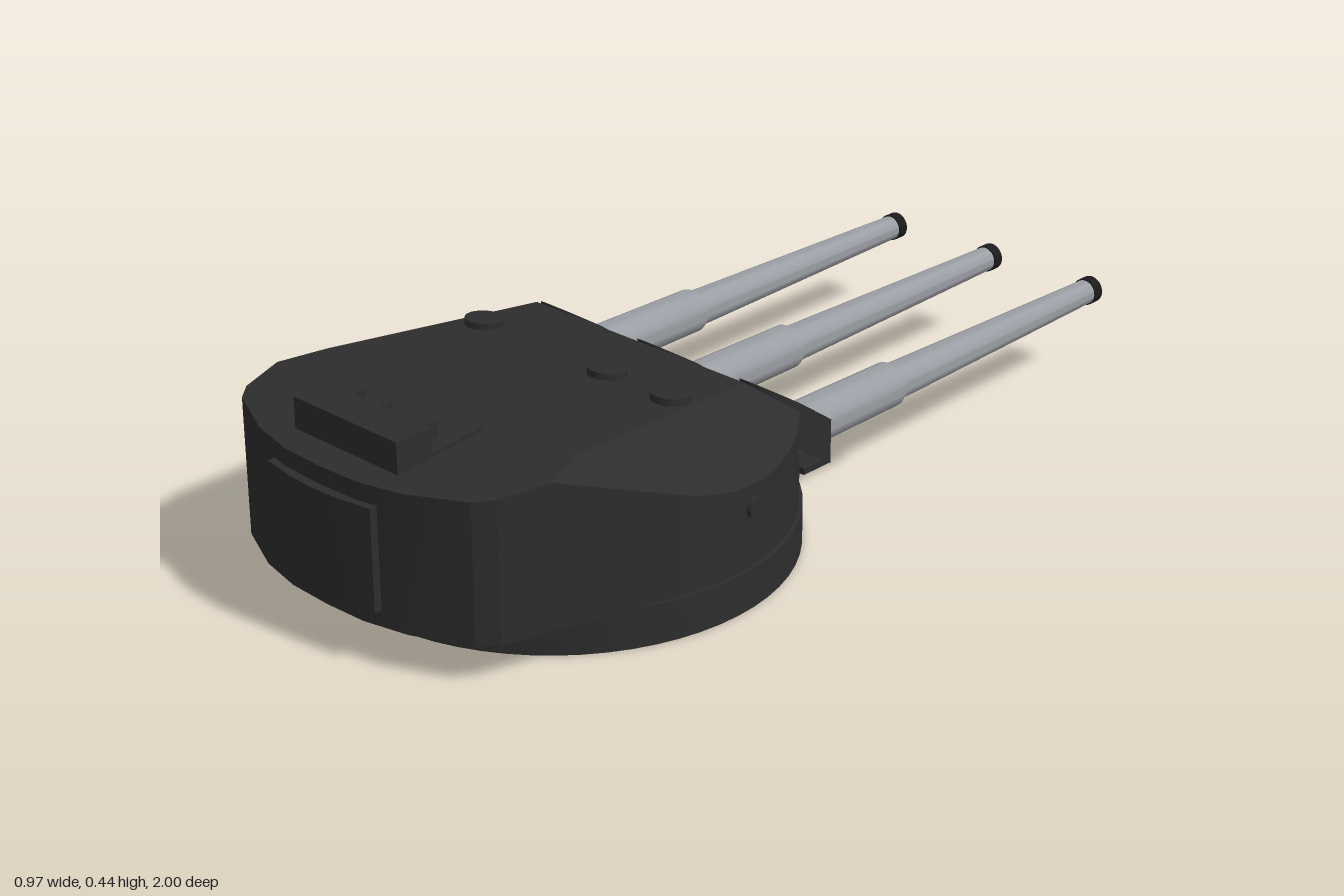
import * as THREE from 'three';
import { mergeGeometries, toCreasedNormals } from 'three/addons/utils/BufferGeometryUtils.js';

const armour = new THREE.MeshStandardMaterial({ color: 0x2d2d2d, side: THREE.DoubleSide });
armour.name = 'darkArmour';
const steel = new THREE.MeshStandardMaterial({ color: 0x9a9da3, side: THREE.DoubleSide });
steel.name = 'gunSteel';
const black = new THREE.MeshStandardMaterial({ color: 0x1b1b1c, side: THREE.DoubleSide });
black.name = 'muzzleBlack';

const CZ = 0.373, R = 0.475, FLOOR = 0.085, GUN_Y = 0.196, PORT = 0.052;
const GUNS = [-0.28, 0, 0.28];

// Roof planes: height as a function of plan position
const frontPlane = (x, z) => 0.352 + 0.825 * (z - 0.15);
const mainPlane = (x, z) => 0.352 + 0.0843 * (z - 0.15);
const rearPlane = (x, z) => 0.395 - 0.08 * (z - 0.66);
const sidePlane = (x, z) => 0.352 - 0.669 * (Math.abs(x) - 0.29) + 0.1565 * (z - 0.15);
const planes = [frontPlane, sidePlane, rearPlane];

function add(group, name, geometry, material, x = 0, y = 0, z = 0) {
  const mesh = new THREE.Mesh(geometry, material);
  mesh.name = name;
  mesh.position.set(x, y, z);
  group.add(mesh);
  return mesh;
}

const planShape = pts => new THREE.Shape(pts.map(([x, z]) => new THREE.Vector2(x, -z)));

// Half-ellipse running around the inner end of a gun port
function arch(cx, halfWidth, zStart, depth) {
  return Array.from({ length: 17 }, (_, i) => {
    const t = Math.PI * i / 16;
    return [cx - halfWidth * Math.cos(t), zStart + depth * Math.sin(t)];
  });
}

// Flat plan polygon lifted onto a height function
function face(shape, height) {
  const g = new THREE.ShapeGeometry(shape, 48).toNonIndexed();
  const p = g.attributes.position;
  for (let i = 0; i < p.count; i++) {
    const x = p.getX(i), z = -p.getY(i);
    p.setXYZ(i, x, height(x, z), z);
  }
  g.deleteAttribute('uv');
  g.deleteAttribute('normal');
  return g;
}

// Plan outline: round front, tapering flanks, shallow curved rear
function outline() {
  const limit = 107 * Math.PI / 180;
  const angles = Array.from({ length: 49 }, (_, i) => limit * (i / 24 - 1));
  for (const g of GUNS) angles.push(Math.asin((g - PORT) / R), Math.asin((g + PORT) / R));
  angles.sort((a, b) => a - b);
  const pts = angles.map(a => [R * Math.sin(a), CZ - R * Math.cos(a)]);
  const rear = [[0.35, 0.86], [0.32, 0.895], [0.2, 0.95], [0.1, 0.972]];
  return [...pts, ...rear, [0, 0.976], ...rear.map(([x, z]) => [-x, z]).reverse()];
}

const lowest = ([x, z]) => {
  const h = planes.map(f => f(x, z));
  return h.indexOf(Math.min(...h));
};

function bodyGeometry() {
  const raw = outline(), loop = [];
  // add the exact points where two roof planes meet on the outline
  raw.forEach((a, i) => {
    const b = raw[(i + 1) % raw.length], ia = lowest(a), ib = lowest(b);
    loop.push({ p: a, on: [ia] });
    if (ia === ib) return;
    const da = planes[ia](...a) - planes[ib](...a), db = planes[ia](...b) - planes[ib](...b);
    const t = da / (da - db);
    loop.push({ p: [a[0] + (b[0] - a[0]) * t, a[1] + (b[1] - a[1]) * t], on: [ia, ib] });
  });
  const on = k => loop.filter(q => q.on.includes(k)).map(q => q.p);

  // walls, lowered where the guns pass through
  const pos = [];
  loop.forEach(({ p: a }, i) => {
    const b = loop[(i + 1) % loop.length].p;
    const mx = (a[0] + b[0]) / 2, mz = (a[1] + b[1]) / 2;
    const open = mz < 0.1 && GUNS.some(g => Math.abs(mx - g) < PORT);
    const top = q => open ? 0.135 : Math.min(...planes.map(f => f(...q)));
    const ta = top(a), tb = top(b);
    pos.push(a[0], FLOOR, a[1], a[0], ta, a[1], b[0], FLOOR, b[1]);
    pos.push(b[0], FLOOR, b[1], a[0], ta, a[1], b[0], tb, b[1]);
  });
  const walls = new THREE.BufferGeometry();
  walls.setAttribute('position', new THREE.Float32BufferAttribute(pos, 3));

  // sloping front with three arched gun ports
  const front = [];
  for (const p of on(0)) {
    if (GUNS.some(g => Math.abs(p[0] - g) < PORT - 1e-5)) continue;
    front.push(p);
    const gun = GUNS.find(g => Math.abs(p[0] - g + PORT) < 1e-5);
    if (gun !== undefined) front.push(...arch(gun, PORT, 0.04, 0.05));
  }
  front.push([0.29, 0.15], [-0.29, 0.15]);

  const side = [...on(1).filter(p => p[0] > 0), [0.345, 0.66], [0.29, 0.15]];
  const rear = [...on(2), [-0.345, 0.66], [0.345, 0.66]];
  const main = [[-0.29, 0.15], [0.29, 0.15], [0.345, 0.66], [-0.345, 0.66]];

  // floor around the ring opening
  const floor = planShape(raw);
  floor.holes.push(new THREE.Path().absarc(0, -CZ, 0.44, 0, Math.PI * 2, true));

  return toCreasedNormals(mergeGeometries([
    walls,
    face(planShape(front), frontPlane),
    face(planShape(side), sidePlane),
    face(planShape(side.map(([x, z]) => [-x, z])), sidePlane),
    face(planShape(rear), rearPlane),
    face(planShape(main), mainPlane),
    face(floor, () => FLOOR),
  ]), 0.4);
}

// Raised arched collar following the front slope
function collarGeometry(frontZ) {
  const outer = [[-0.063, frontZ], ...arch(0, 0.063, 0.04, 0.09), [0.063, frontZ]];
  const inner = [[0.051, frontZ], ...arch(0, 0.051, 0.04, 0.05).reverse(), [-0.051, frontZ]];
  const g = new THREE.ExtrudeGeometry(planShape([...outer, ...inner]), { depth: 1, bevelEnabled: false });
  const p = g.attributes.position;
  for (let i = 0; i < p.count; i++) {
    const x = p.getX(i), z = -p.getY(i), s = frontPlane(x, z);
    const rise = 0.035 - 0.025 * Math.max(0, (z + 0.02) / 0.15);
    p.setXYZ(i, x, p.getZ(i) > 0.5 ? s + rise : Math.max(s - 0.08, 0.125), z);
  }
  return toCreasedNormals(g, 0.5);
}

const lathe = (pts, n = 32) =>
  toCreasedNormals(new THREE.LatheGeometry(pts.map(p => new THREE.Vector2(...p)), n), 0.5);

export function createModel() {
  const turret = new THREE.Group();
  turret.name = 'gunTurret';

  // base ring and gun house
  add(turret, 'baseRing', lathe(
    [[0.44, 0], [0.483, 0], [0.483, FLOOR], [0.44, FLOOR], [0.44, 0]], 64), armour, 0, 0, CZ);
  add(turret, 'gunHouse', bodyGeometry(), armour);

  // guns: distance along the barrel runs from the breech to the muzzle
  const barrel = lathe([[0, -0.14], [0.03, -0.13], [0.05, -0.09], [0.05, 0.05], [0.048, 0.3],
    [0.045, 0.307], [0.04, 0.31], [0.027, 0.985], [0, 0.985]]);
  const muzzle = lathe([[0.015, 0.975], [0.03, 0.975], [0.03, 1], [0.015, 1], [0.015, 0.975]]);
  for (const x of GUNS) {
    const gun = new THREE.Group();
    gun.name = 'gun';
    gun.position.x = x;
    turret.add(gun);
    add(gun, 'barrel', barrel, steel, 0, GUN_Y).rotation.x = -Math.PI / 2;
    add(gun, 'muzzleBand', muzzle, black, 0, GUN_Y).rotation.x = -Math.PI / 2;
    const frontZ = x === 0 ? -0.115 : -0.05;
    add(gun, 'portCollar', collarGeometry(frontZ), armour);
    add(gun, 'portSill', new THREE.BoxGeometry(0.126, 0.014, 0.08), armour, 0, 0.134, frontZ + 0.04);
  }

  // roof hatches
  for (const x of [-0.26, 0.09, 0.26]) {
    const hatch = add(turret, 'roofHatch', new THREE.CylinderGeometry(0.04, 0.04, 0.03, 24), armour, x, 0.366, 0.325);
    hatch.rotation.x = -Math.atan(0.0843);
  }

  // rangefinder housing with three small blocks on its inner face
  add(turret, 'rangefinderBox', new THREE.BoxGeometry(0.286, 0.07, 0.085), armour, 0, 0.405, 0.868);
  for (const x of [-0.1, -0.028, 0.097])
    add(turret, 'rangefinderBlock', new THREE.BoxGeometry(0.045, 0.035, 0.036), armour, x, 0.419, 0.808);
  add(turret, 'rangefinderPlate', new THREE.BoxGeometry(0.286, 0.009, 0.13), armour, 0, 0.39, 0.765)
    .rotation.x = Math.atan(0.08);

  // rear door panel
  const door = new THREE.ExtrudeGeometry(planShape([[-0.143, 0.95], [-0.143, 0.979], [-0.07, 0.992],
    [0, 0.996], [0.07, 0.992], [0.143, 0.979], [0.143, 0.95]]), { depth: 0.213, bevelEnabled: false });
  door.rotateX(-Math.PI / 2);
  add(turret, 'rearDoor', toCreasedNormals(door, 0.4), armour, 0, 0.12, 0);

  // side sights
  for (const s of [-1, 1])
    add(turret, 'sideSight', new THREE.CylinderGeometry(0.02, 0.02, 0.03, 20), armour, s * 0.47, 0.21, 0.322)
      .rotation.z = Math.PI / 2;

  return turret;
}
